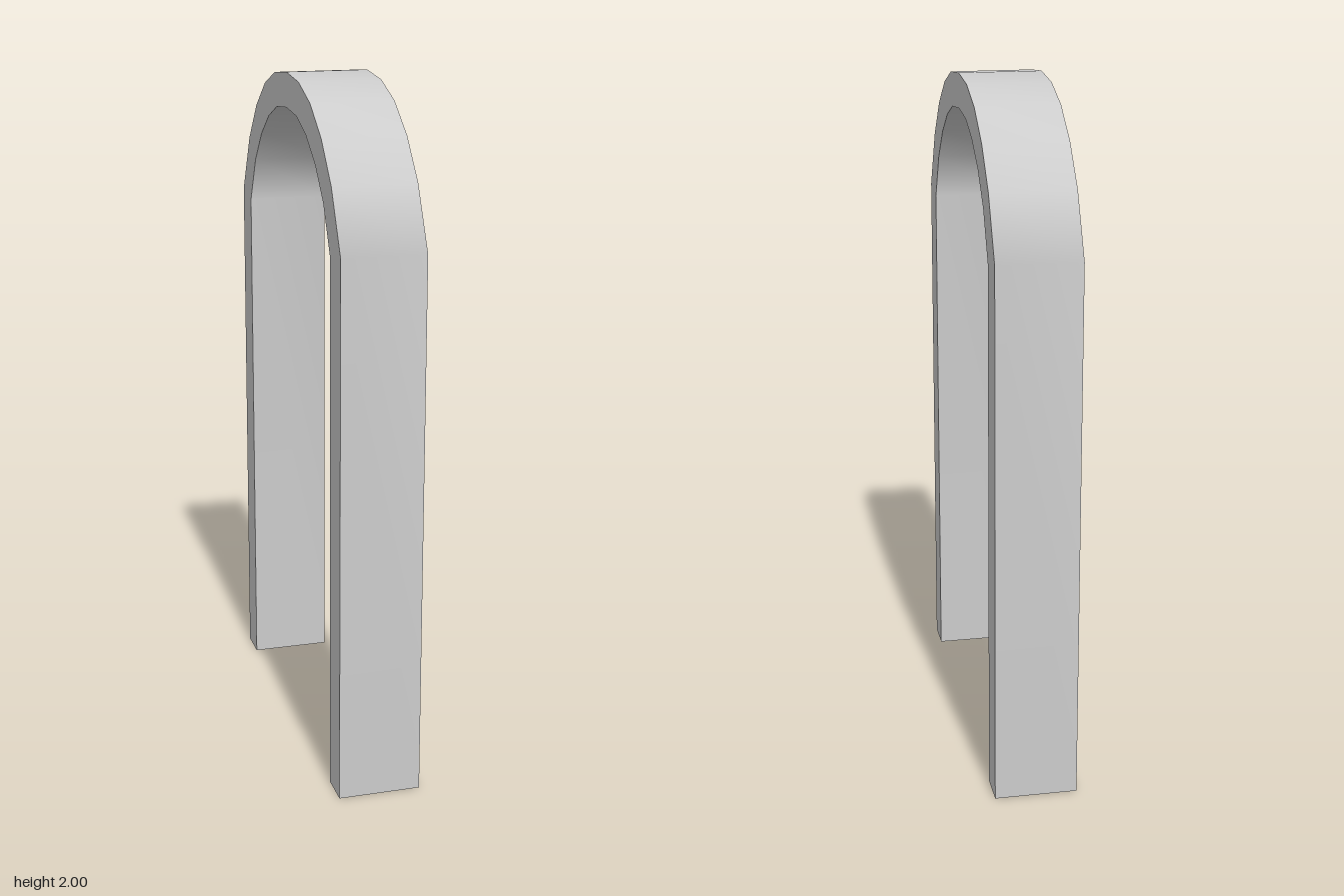
import * as THREE from 'three';

const HALF_WIDTH = 0.12;

// Half profiles as [z, y], from the front foot up to the crown
const OUTER = [[0.57, 0], [0.57, 1.575], [0.478, 1.75], [0.378, 1.862], [0.262, 1.942], [0.138, 1.986], [0, 2]];
const INNER = [[0.468, 0], [0.468, 1.555], [0.398, 1.692], [0.313, 1.784], [0.216, 1.85], [0.115, 1.889], [0, 1.9]];

// Mirror a half profile to the back foot
function mirror(half) {
  return [...half, ...half.slice(0, -1).reverse().map(([z, y]) => [-z, y])];
}

// Place a profile at a given x
function row(profile, x) {
  return profile.map(([z, y]) => [x, y, z]);
}

// Ribbon of quads between two rows of points
function strip(name, a, b, material) {
  const index = [];
  const n = a.length;
  for (let i = 0; i < n - 1; i++) {
    index.push(i, n + i, i + 1, n + i, n + i + 1, i + 1);
  }
  const geometry = new THREE.BufferGeometry();
  geometry.setAttribute('position', new THREE.Float32BufferAttribute([...a, ...b].flat(), 3));
  geometry.setIndex(index);
  geometry.computeVertexNormals();
  const mesh = new THREE.Mesh(geometry, material);
  mesh.name = name;
  return mesh;
}

export function createModel() {
  const group = new THREE.Group();
  group.name = 'arch';
  // The feet are open, so the walls show from inside too
  const material = new THREE.MeshStandardMaterial({ color: 0xcccccc, side: THREE.DoubleSide });

  const outer = mirror(OUTER);
  const inner = mirror(INNER);
  const w = HALF_WIDTH;

  group.add(
    strip('outerSurface', row(outer, -w), row(outer, w), material),
    strip('innerSurface', row(inner, w), row(inner, -w), material),
    strip('leftFace', row(outer, w), row(inner, w), material),
    strip('rightFace', row(inner, -w), row(outer, -w), material)
  );
  return group;
}
